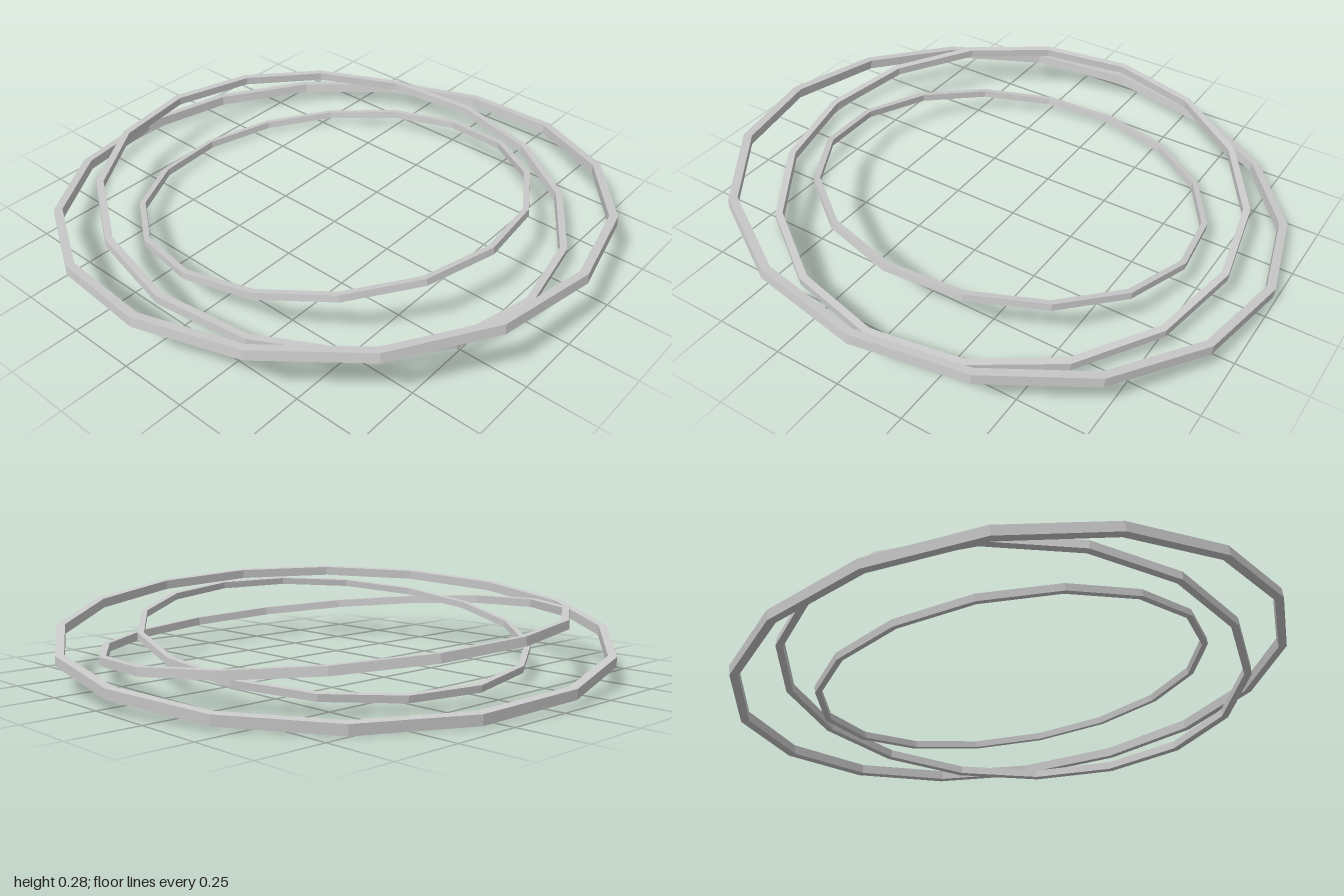
import * as THREE from 'three';

const SEGMENTS = 16;
const CENTRE_Y = 0.14;

// Square-edged, 16-sided hoop; slopeX and slopeZ are its rise along x and z.
function makeRing(name, radius, slopeX, slopeZ, yaw, material) {
  const width = 0.03 * radius;
  const half = 0.018 * radius;
  const profile = [
    [radius - width, -half],
    [radius, -half],
    [radius, half],
    [radius - width, half],
    [radius - width, -half],
  ].map(([r, y]) => new THREE.Vector2(r, y));
  const geometry = new THREE.LatheGeometry(profile, SEGMENTS);
  geometry.rotateY(yaw);

  const ring = new THREE.Mesh(geometry, material);
  ring.name = name;
  ring.position.y = CENTRE_Y;
  const normal = new THREE.Vector3(-slopeX, 1, -slopeZ).normalize();
  ring.quaternion.setFromUnitVectors(new THREE.Vector3(0, 1, 0), normal);
  return ring;
}

export function createModel() {
  const material = new THREE.MeshStandardMaterial({ color: 0xcccccc, flatShading: true });
  const group = new THREE.Group();
  group.name = 'tiltedRings';
  // Three concentric hoops, each leaning its own way
  group.add(
    makeRing('outerRing', 1.005, 0.098, 0.075, 0.06, material),
    makeRing('middleRing', 0.855, -0.07, 0.047, 0, material),
    makeRing('innerRing', 0.715, 0.15, 0.05, -0.045, material),
  );
  return group;
}
